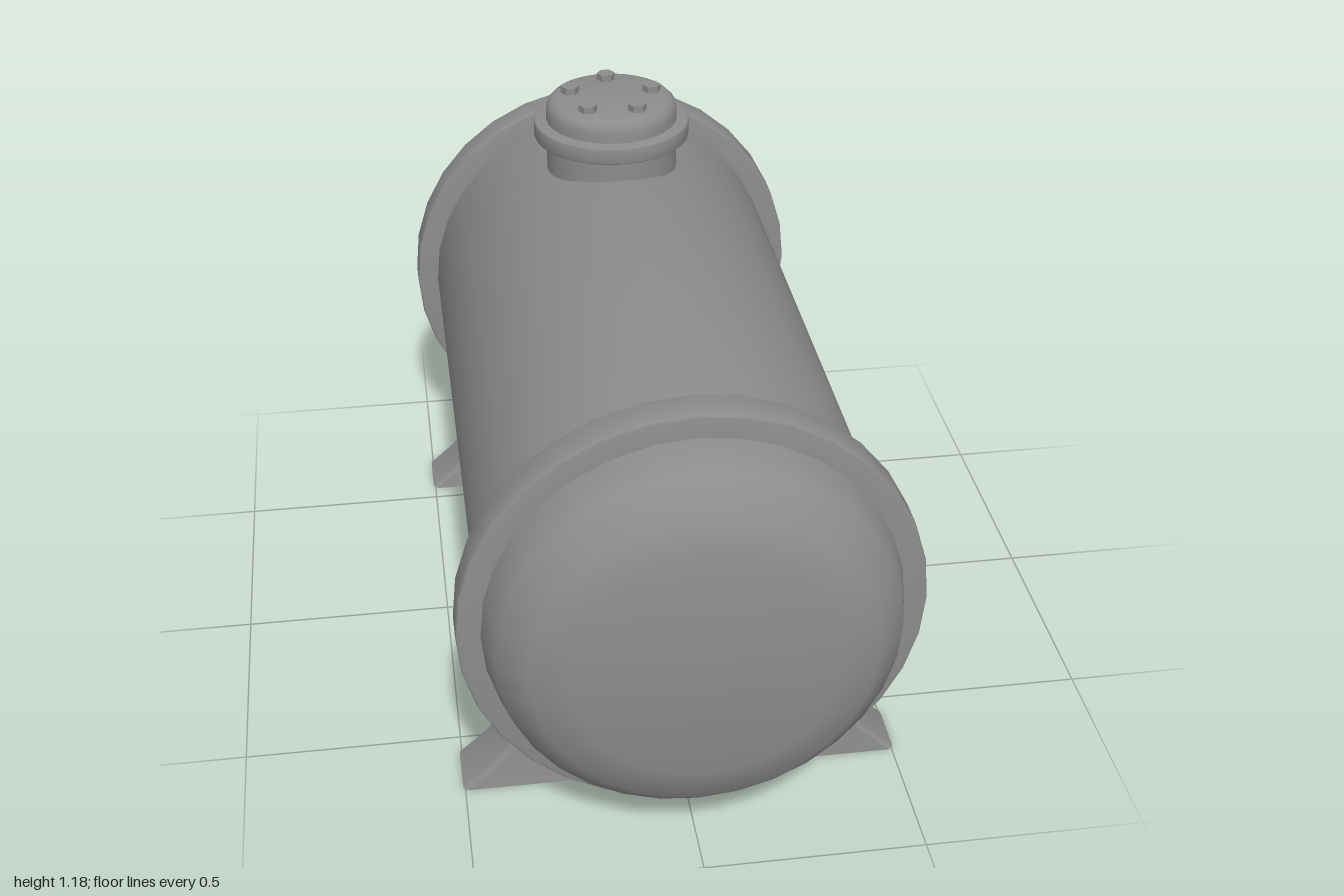
import * as THREE from 'three';
import { toCreasedNormals } from 'three/addons/utils/BufferGeometryUtils.js';

const CENTRE_Y = 0.557, TANK_R = 0.453, RING_R = 0.506, SIDES = 32;
const material = new THREE.MeshStandardMaterial({ color: 0x8c8c8c });

function part(name, geometry, x = 0, y = 0, z = 0) {
  const mesh = new THREE.Mesh(geometry, material);
  mesh.name = name;
  mesh.position.set(x, y, z);
  return mesh;
}

// Turned solid from [radius, height] pairs, listed bottom to top
function turned(profile) {
  const points = profile.map(([r, h]) => new THREE.Vector2(r, h));
  return toCreasedNormals(new THREE.LatheGeometry(points, SIDES), 0.65);
}

// Quarter-round profile from the outer wall up to the top face
function roundedCorner(radius, top, round, steps = 3) {
  const points = [];
  for (let i = 0; i <= steps; i++) {
    const a = (i / steps) * Math.PI / 2;
    points.push([radius - round + round * Math.cos(a), top - round + round * Math.sin(a)]);
  }
  return points;
}

// Profile mirrored about height zero
function mirrored(upper) {
  return [...upper.map(([r, h]) => [r, -h]).reverse(), ...upper];
}

// Drum with rounded ends, lying along z
function drumGeometry() {
  return turned(mirrored([...roundedCorner(TANK_R, 1, 0.172), [0, 1]])).rotateX(Math.PI / 2);
}

// Flat hoop with softened outer edges
function hoopGeometry() {
  const h = 0.041;
  return turned(mirrored([...roundedCorner(RING_R, h, 0.005), [TANK_R - 0.02, h]])).rotateX(Math.PI / 2);
}

// Support with flared concave sides, softened edges and a flat base
function saddleGeometry() {
  const side = [[0.505, -0.06], [0.505, 0], [0.442, 0.058], [0.392, 0.122], [0.356, 0.19], [0.338, 0.262]];
  const outline = [...side, ...side.map(([x, y]) => [-x, y]).reverse()];
  const shape = new THREE.Shape(outline.map(([x, y]) => new THREE.Vector2(x, y)));
  const bevel = 0.016, width = 0.142;
  const geometry = new THREE.ExtrudeGeometry(shape, {
    depth: width - 2 * bevel, bevelThickness: bevel, bevelSize: bevel, bevelOffset: -bevel, bevelSegments: 3,
  });
  geometry.translate(0, 0, -width / 2 + bevel);
  // Flatten everything below ground to the base plane
  const pos = geometry.attributes.position;
  for (let i = 0; i < pos.count; i++) pos.setY(i, Math.max(0, pos.getY(i)));
  return toCreasedNormals(geometry, 0.65);
}

// Access hatch: neck, flange, rounded lid and five hexagonal bolts
function createHatch() {
  const hatch = new THREE.Group();
  hatch.name = 'hatch';
  hatch.position.z = -0.517;
  hatch.add(part('hatchNeck', turned([[0, 0.9], [0.165, 0.9], [0.165, 1.08], [0, 1.08]])));
  const flange = turned(mirrored([...roundedCorner(0.196, 0.022, 0.004), [0, 0.022]]));
  hatch.add(part('hatchFlange', flange, 0, 1.089, 0));
  hatch.add(part('hatchLid', turned([[0, 1.1], [0.165, 1.1], ...roundedCorner(0.165, 1.166, 0.03), [0, 1.166]])));

  const bolt = toCreasedNormals(
    new THREE.CylinderGeometry(0.023, 0.023, 0.04, 6, 1, false, Math.PI / 2), 0.65);
  for (const degrees of [0, 79, 150, 220, 291]) {
    const a = THREE.MathUtils.degToRad(degrees);
    hatch.add(part('bolt', bolt, 0.107 * Math.sin(a), 1.163, -0.107 * Math.cos(a)));
  }
  return hatch;
}

export function createModel() {
  const model = new THREE.Group();
  model.name = 'storageTank';
  model.add(part('drum', drumGeometry(), 0, CENTRE_Y, 0));

  const hoop = hoopGeometry(), saddle = saddleGeometry();
  for (const s of [1, -1]) {
    const end = s > 0 ? 'front' : 'back';
    model.add(part(end + 'Hoop', hoop, 0, CENTRE_Y, s * 0.782));
    model.add(part(end + 'Saddle', saddle, 0, 0, s * 0.613));
  }

  model.add(createHatch());
  return model;
}
